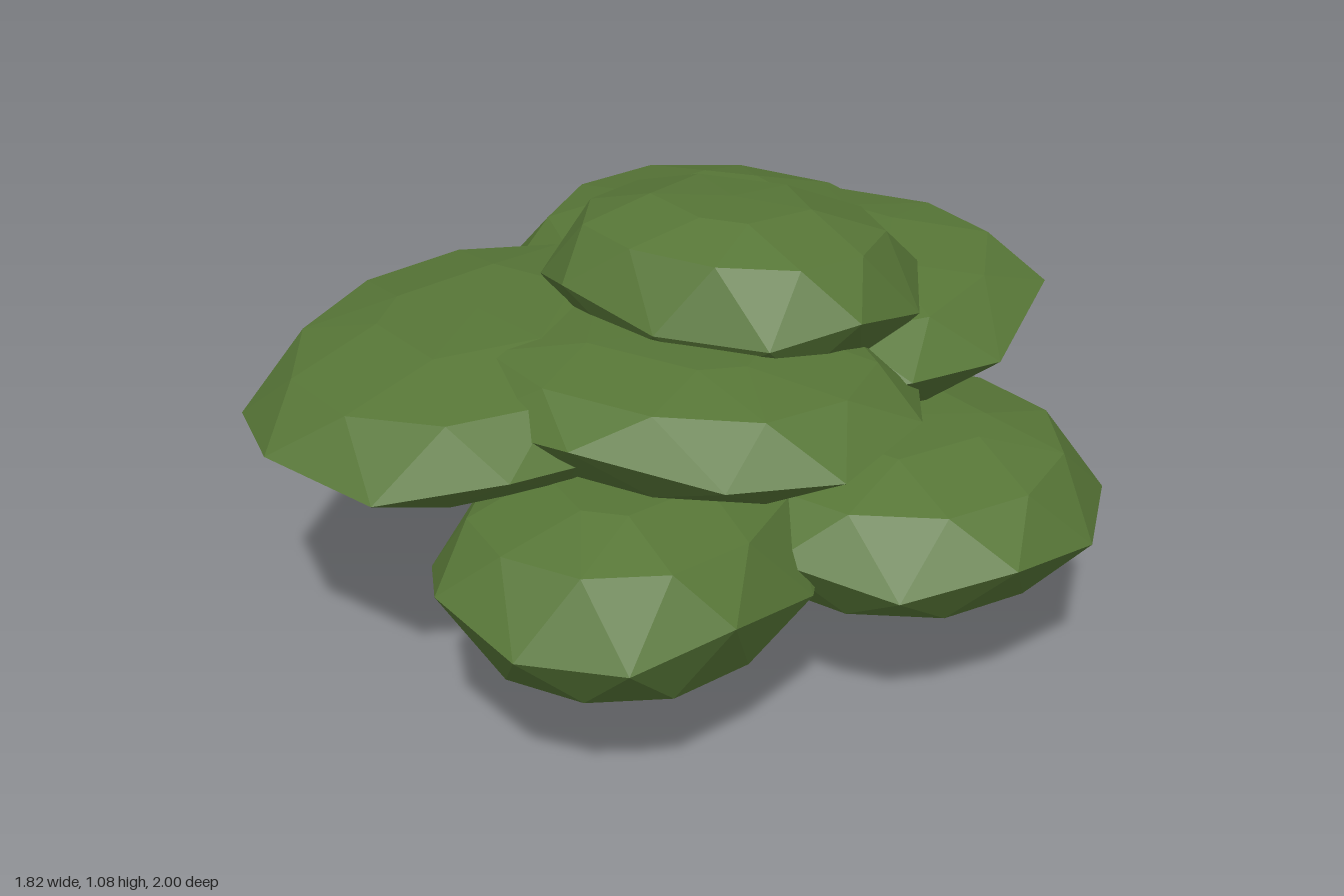
import * as THREE from 'three';
import { ConvexGeometry } from 'three/addons/geometries/ConvexGeometry.js';

const leaf = new THREE.MeshStandardMaterial({ color: 0x577637, flatShading: true });
leaf.name = 'leaf green';
const bark = new THREE.MeshStandardMaterial({ color: 0xa6a49a, flatShading: true });
bark.name = 'bark grey';

const SIDES = 11;

// Faceted clump of leaves: a zigzag rim, a shoulder ring above and below, and
// small caps. x, z: extents; y: [bottom, rim, top]; turn: angle of the first
// corner; square: 2 is an ellipse, more is boxier; lean: [rise per x, per z]
function leafClump(name, { x, y, z, turn, square = 2.3, lean = [0, 0] }) {
  const [bottom, rim, top] = y;
  const cx = (x[0] + x[1]) / 2, cz = (z[0] + z[1]) / 2;
  const round = (v) => Math.sign(v) * Math.abs(v) ** (2 / square);
  const corner = (i) => {
    const a = turn + (i / SIDES) * Math.PI * 2;
    return new THREE.Vector2(round(Math.cos(a)) * (x[1] - x[0]) / 2, round(Math.sin(a)) * (z[1] - z[0]) / 2);
  };
  const points = [];
  const add = (p, scale, level) => {
    const dx = p.x * scale, dz = p.y * scale;
    const h = rim + level * (level > 0 ? top - rim : rim - bottom);
    points.push(new THREE.Vector3(cx + dx, h + dx * lean[0] + dz * lean[1], cz + dz));
  };
  for (let i = 0; i < SIDES; i++) {
    const p = corner(i), between = p.clone().lerp(corner(i + 1), 0.5);
    add(p, 1, i % 2 ? 0.13 : -0.13);
    for (const side of [-1, 1]) {
      add(between, 0.82, 0.68 * side);
      if (i % 2 === 0) add(p, 0.42, 0.97 * side);
    }
  }
  add(new THREE.Vector2(), 0, 1);
  add(new THREE.Vector2(), 0, -1);
  const mesh = new THREE.Mesh(new ConvexGeometry(points), leaf);
  mesh.name = name;
  return mesh;
}

export function createModel() {
  const tree = new THREE.Group();
  tree.name = 'tree';

  // Hexagonal trunk, slightly tapered, reaching into the canopy
  const trunkGeo = new THREE.CylinderGeometry(0.045, 0.068, 0.7, 6);
  trunkGeo.rotateY(Math.PI / 6);
  const trunk = new THREE.Mesh(trunkGeo, bark);
  trunk.name = 'trunk';
  trunk.position.set(-0.003, 0.35, -0.062);
  tree.add(trunk);

  // Canopy, from the crown down
  tree.add(
    leafClump('crownClump', { x: [-0.39, 0.465], y: [0.7, 0.88, 1.07], z: [-0.34, 0.39], turn: 1.57, lean: [0, 0.08] }),
    leafClump('upperBackClump', { x: [-0.46, 0.63], y: [0.58, 0.735, 0.88], z: [-0.69, 0.21], turn: -0.96, square: 2.5, lean: [0.05, -0.07] }),
    leafClump('upperFrontClump', { x: [-0.49, 0.6], y: [0.595, 0.735, 0.87], z: [-0.12, 0.73], turn: 1.03, lean: [0, 0.04] }),
    leafClump('upperRightClump', { x: [-0.91, 0.1], y: [0.57, 0.69, 0.85], z: [-0.17, 0.93], turn: Math.PI, square: 2.1, lean: [0.06, -0.06] }),
    leafClump('backClump', { x: [-0.83, 0.26], y: [0.41, 0.6, 0.785], z: [-1, -0.06], turn: -1.57, square: 2.2 }),
    leafClump('lowerFrontClump', { x: [-0.35, 0.45], y: [0.195, 0.425, 0.63], z: [0.04, 1], turn: 1.57, square: 2.2, lean: [0, 0.06] }),
    leafClump('lowerLeftClump', { x: [-0.04, 0.905], y: [0.255, 0.435, 0.615], z: [-0.46, 0.46], turn: 0, square: 2.1 })
  );
  return tree;
}
